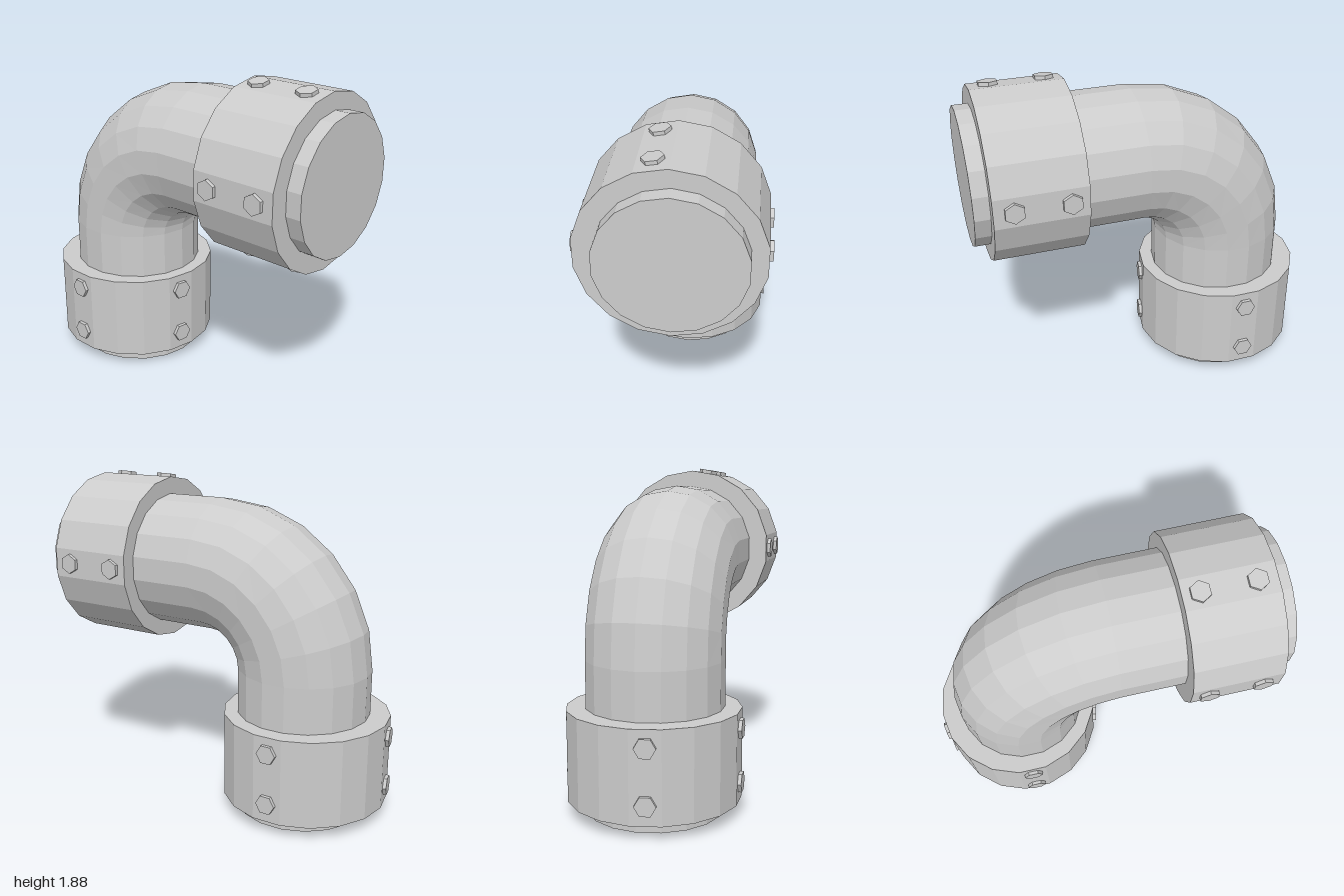
import * as THREE from 'three';

const SIDES = 18;
const material = new THREE.MeshStandardMaterial({ color: 0xcccccc, flatShading: true });

function addMesh(parent, name, geometry) {
  const mesh = new THREE.Mesh(geometry, material);
  mesh.name = name;
  parent.add(mesh);
  return mesh;
}

// Elbow pipe: rings swept up, around a quarter bend, then out along +x, with closed ends
function pipeGeometry() {
  const radius = 0.383, bend = 0.54, cx = 0.053, cy = 0.842, steps = 6;
  const stations = [{ x: cx - bend, y: 0, b: 0 }];
  for (let i = 0; i <= steps; i++) {
    const b = (i / steps) * Math.PI / 2;
    stations.push({ x: cx - bend * Math.cos(b), y: cy + bend * Math.sin(b), b });
  }
  stations.push({ x: 1, y: cy + bend, b: Math.PI / 2 });

  const positions = [], index = [];
  const drift = (b) => -0.015 * b / (Math.PI / 2);
  for (const { x, y, b } of stations) {
    for (let j = 0; j < SIDES; j++) {
      const a = (j / SIDES) * Math.PI * 2, out = radius * Math.cos(a);
      positions.push(x - Math.cos(b) * out, y + Math.sin(b) * out, drift(b) + radius * Math.sin(a));
    }
  }
  const last = stations.length - 1;
  const startCentre = positions.length / 3, endCentre = startCentre + 1;
  for (const { x, y, b } of [stations[0], stations[last]]) positions.push(x, y, drift(b));

  for (let j = 0; j < SIDES; j++) {
    const k = (j + 1) % SIDES;
    for (let i = 0; i < last; i++) {
      const p = i * SIDES, q = p + SIDES;
      index.push(p + j, p + k, q + k, p + j, q + k, q + j);
    }
    index.push(startCentre, k, j);
    index.push(endCentre, last * SIDES + j, last * SIDES + k);
  }
  const indexed = new THREE.BufferGeometry();
  indexed.setAttribute('position', new THREE.Float32BufferAttribute(positions, 3));
  indexed.setIndex(index);
  const geometry = indexed.toNonIndexed();
  geometry.computeVertexNormals();
  return geometry;
}

// Collar along y with pairs of hexagonal bolts centred on four of its facets
function makeCollar(name) {
  const radius = 0.48, height = 0.5;
  const group = new THREE.Group();
  group.name = name;
  addMesh(group, 'collarRing',
    new THREE.CylinderGeometry(radius, radius, height, SIDES).rotateY(Math.PI / 2));

  const facet = radius * Math.cos(Math.PI / SIDES);
  const boltGeometry = new THREE.CylinderGeometry(0.057, 0.057, 0.04, 6)
    .rotateY(Math.PI / 2).rotateX(Math.PI / 2);
  for (const degrees of [0, 80, 180, -80]) {
    const angle = THREE.MathUtils.degToRad(degrees);
    for (const y of [0.155, -0.142]) {
      const bolt = addMesh(group, 'bolt', boltGeometry);
      bolt.position.set(Math.sin(angle) * facet, y, Math.cos(angle) * facet);
      bolt.rotation.y = angle;
    }
  }
  return group;
}

export function createModel() {
  const model = new THREE.Group();
  model.name = 'pipeElbow';
  addMesh(model, 'bentPipe', pipeGeometry());

  // Lower collar around the upright end
  const lower = makeCollar('lowerCollar');
  lower.position.set(-0.508, 0.331, 0);
  model.add(lower);

  // Side collar around the level end, turned so its inner bolts face the bend
  const side = makeCollar('sideCollar');
  side.position.set(0.664, 1.382, -0.004);
  side.rotation.z = Math.PI / 2;
  model.add(side);

  return model;
}
